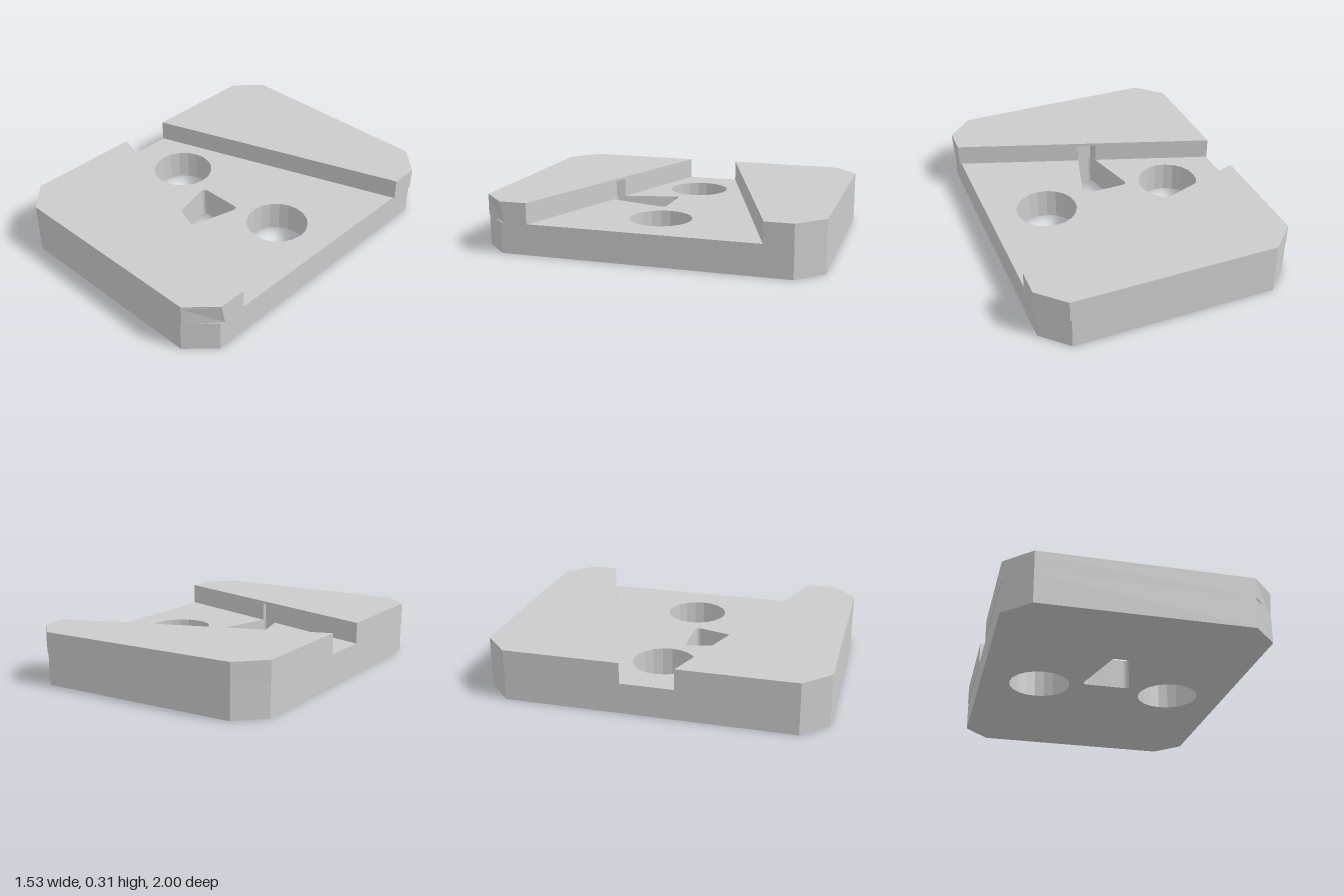
import * as THREE from 'three';

const material = new THREE.MeshStandardMaterial({ color: 0xcccccc, flatShading: true });
const FLOOR = 0.184, TOP = 0.31, NOTCH_TOP = 0.295;

const toVectors = (points) => points.map(([x, z]) => new THREE.Vector2(x, z));

// Extrude an outline drawn in (x, z) between two heights
function slab(name, shape, bottom, top) {
  const geometry = new THREE.ExtrudeGeometry(shape, {
    depth: top - bottom, bevelEnabled: false, curveSegments: 5,
  });
  geometry.rotateX(Math.PI / 2).translate(0, top, 0);
  const mesh = new THREE.Mesh(geometry, material);
  mesh.name = name;
  return mesh;
}

// Closed path through polygon corners, each rounded by its own radius
function roundedPath(corners) {
  const path = new THREE.Path();
  const pts = toVectors(corners);
  const n = pts.length;
  const toward = (a, b, r) => a.clone().add(b.clone().sub(a).setLength(r));
  pts.forEach((p, i) => {
    const r = corners[i][2];
    const start = toward(p, pts[(i + n - 1) % n], r);
    const end = toward(p, pts[(i + 1) % n], r);
    if (i === 0) path.moveTo(start.x, start.y);
    else path.lineTo(start.x, start.y);
    path.quadraticCurveTo(p.x, p.y, end.x, end.y);
  });
  path.closePath();
  return path;
}

// Regular polygon hole
function roundHole(cx, cz, radius, sides) {
  const points = [];
  for (let i = 0; i < sides; i++) {
    const a = (i / sides) * Math.PI * 2;
    points.push(new THREE.Vector2(cx + Math.cos(a) * radius, cz + Math.sin(a) * radius));
  }
  return new THREE.Path(points);
}

export function createModel() {
  const model = new THREE.Group();
  model.name = 'slottedBlock';

  // Base plate with clipped corners, two round holes and a tapered hole
  const base = new THREE.Shape(toVectors([
    [-0.765, -0.85], [-0.615, -1], [0.605, -1], [0.755, -0.85],
    [0.755, 0.85], [0.605, 1], [-0.615, 1], [-0.765, 0.85],
  ]));
  base.holes.push(
    roundHole(-0.41, 0, 0.184, 20),
    roundHole(0.4, 0, 0.184, 20),
    roundedPath([[-0.16, 0.06, 0.04], [0.138, 0.06, 0.04], [0.032, 0.45, 0.02], [-0.058, 0.45, 0.02]]),
  );
  model.add(slab('basePlate', base, 0, FLOOR));

  // Raised wedges either side of the flaring channel
  const outer = [[0.765, 0.685], [0.765, 0.85], [0.615, 1], [-0.615, 1], [-0.768, 0.85], [-0.768, 0.158]];
  const notch = [[-0.075, 0.396], [-0.058, 0.45], [0.028, 0.45], [0.035, 0.434]];

  const backShape = new THREE.Shape(toVectors(outer.map(([x, z]) => [x, -z])));
  model.add(slab('backWedge', backShape, FLOOR, TOP));

  // Front wedge: the tapered hole cuts a notch into its lower layer
  const frontWedge = new THREE.Group();
  frontWedge.name = 'frontWedge';
  const lower = slab('frontWedgeNotchedLayer', new THREE.Shape(toVectors([...outer, ...notch])), FLOOR, NOTCH_TOP);
  const upper = slab('frontWedgeTopLayer', new THREE.Shape(toVectors(outer)), NOTCH_TOP, TOP);

  // The front left clipped corner leans back slightly toward its foot
  for (const layer of [lower, upper]) {
    const pos = layer.geometry.attributes.position;
    for (let i = 0; i < pos.count; i++) {
      if (pos.getX(i) > 0.76 && Math.abs(pos.getZ(i) - 0.85) < 0.001) {
        pos.setZ(i, 0.85 - 0.025 * (TOP - pos.getY(i)) / (TOP - FLOOR));
      }
    }
    layer.geometry.computeVertexNormals();
    frontWedge.add(layer);
  }
  model.add(frontWedge);
  return model;
}
